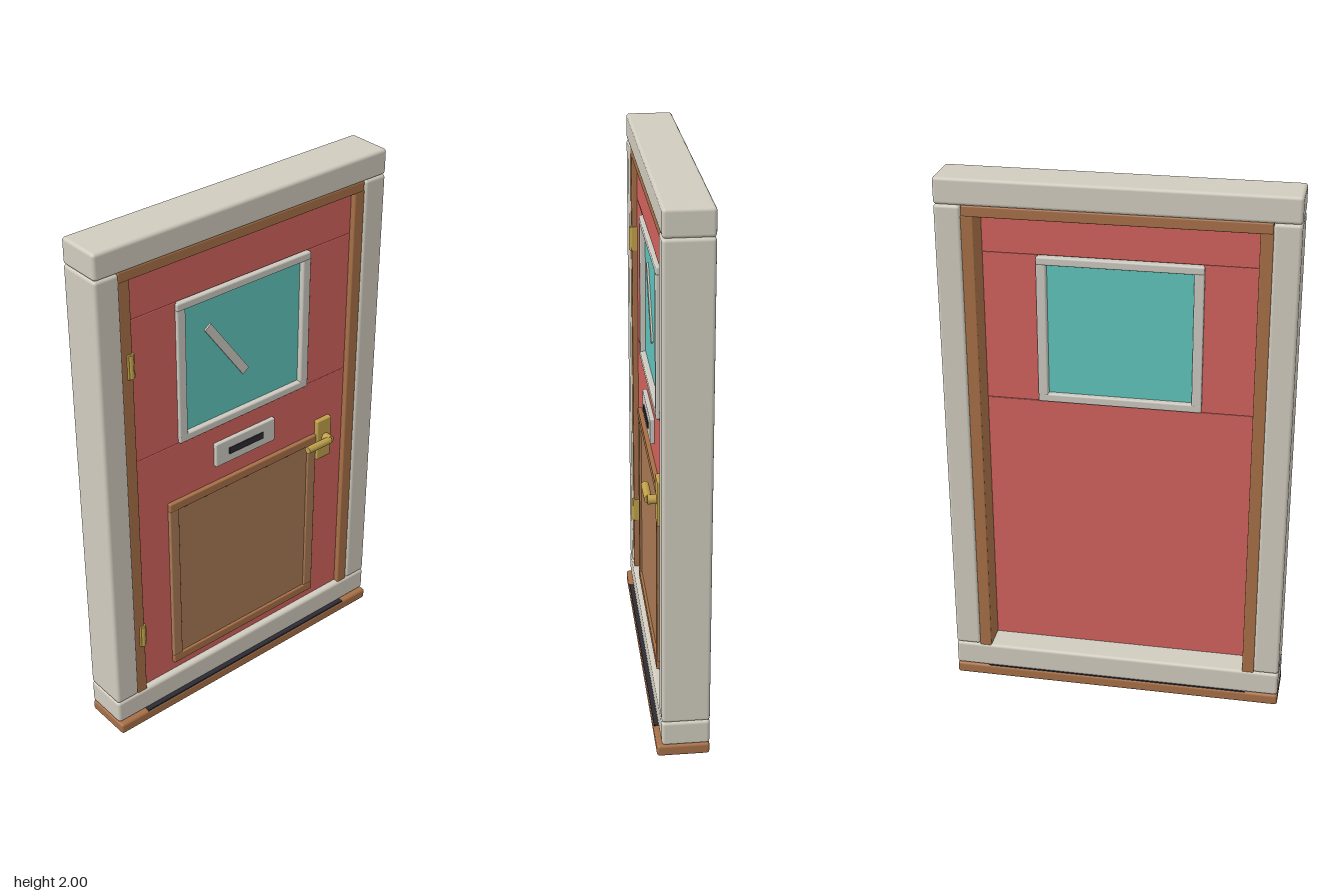
import * as THREE from 'three';
import { RoundedBoxGeometry } from 'three/addons/geometries/RoundedBoxGeometry.js';

export function createModel() {
  const group = new THREE.Group();
  group.name = 'frontDoor';
  const mat = (name, color) => {
    const m = new THREE.MeshStandardMaterial({ color });
    m.name = name;
    return m;
  };
  const stone = mat('stone', 0xd0cbbe);
  const trim = mat('trimWood', 0xa66f47);
  const panelWood = mat('panelWood', 0xa97a54);
  const red = mat('redPaint', 0xd2625d);
  const glass = mat('glass', 0x5fc4bb);
  const pale = mat('palePaint', 0xcbc8bf);
  const dark = mat('darkRubber', 0x2c2b33);
  const brass = mat('brass', 0xbfa04a);

  const add = (name, geometry, material, parent = group) => {
    const mesh = new THREE.Mesh(geometry, material);
    mesh.name = name;
    parent.add(mesh);
    return mesh;
  };
  // Box from its limits, with edges rounded by r
  const box = (name, material, [x0, x1], [y0, y1], [z0, z1], r = 0) => {
    const size = [x1 - x0, y1 - y0, z1 - z0];
    const geo = r ? new RoundedBoxGeometry(...size, 2, r) : new THREE.BoxGeometry(...size);
    const mesh = add(name, geo, material);
    mesh.position.set((x0 + x1) / 2, (y0 + y1) / 2, (z0 + z1) / 2);
    return mesh;
  };
  const side = (s, a, b) => (s > 0 ? [a, b] : [-b, -a]);

  // Stone surround
  const full = [-0.625, 0.625], deep = [-0.104, 0.066];
  box('lintel', stone, full, [1.905, 2], deep, 0.012);
  box('threshold', stone, full, [0.045, 0.14], deep, 0.012);
  box('sill', trim, full, [0, 0.044], [-0.104, 0.083], 0.01);
  box('weatherStrip', dark, [-0.5, 0.5], [0.038, 0.047], [-0.1, 0.081]);

  // Jambs, wooden linings, upper stiles and window sides
  for (const s of [1, -1]) {
    box('jamb', stone, side(s, 0.53, 0.625), [0.14, 1.905], deep, 0.012);
    box('lining', trim, side(s, 0.487, 0.532), [0.13, 1.87], [-0.1, 0.06], 0.005);
    box('upperStile', red, side(s, 0.29, 0.488), [1.155, 1.71], [0, 0.04], 0.003);
    box('windowSide', pale, side(s, 0.26, 0.296), [1.18, 1.682], [-0.012, 0.052], 0.006);
  }
  box('headLining', trim, [-0.53, 0.53], [1.866, 1.905], [-0.1, 0.06], 0.005);

  // Door leaf
  box('topRail', red, [-0.488, 0.488], [1.71, 1.868], [0, 0.04], 0.003);
  box('lowerLeaf', red, [-0.488, 0.488], [0.138, 1.155], [0, 0.04], 0.003);

  // Window
  box('windowHead', pale, [-0.296, 0.296], [1.676, 1.706], [-0.012, 0.052], 0.006);
  box('windowSill', pale, [-0.296, 0.296], [1.157, 1.188], [-0.012, 0.052], 0.006);
  box('windowPane', glass, [-0.265, 0.265], [1.183, 1.682], [0.008, 0.032]);
  const glint = box('glint', pale, [-0.145, 0.145], [-0.016, 0.016], [0.031, 0.039]);
  glint.position.set(-0.073, 1.447, 0.035);
  glint.rotation.z = Math.atan2(-0.225, 0.16);

  // Letter plate
  box('letterPlate', pale, [-0.14, 0.136], [0.99, 1.087], [0.038, 0.056], 0.005);
  box('letterSlot', dark, [-0.081, 0.077], [1.025, 1.051], [0.053, 0.06]);

  // Lower wooden panel with moulding
  box('lowerPanel', panelWood, [-0.345, 0.34], [0.185, 0.915], [0.036, 0.046]);
  for (const y of [0.18, 0.886])
    box('panelRail', trim, [-0.35, 0.346], [y, y + 0.035], [0.036, 0.056], 0.004);
  for (const x of [-0.35, 0.306])
    box('panelSide', panelWood, [x, x + 0.04], [0.213, 0.888], [0.036, 0.054], 0.004);

  // Hinges
  for (const y of [0.403, 0.553].map((v, i) => (i ? 1.553 : v))) {
    box('hingeLeaf', brass, [-0.511, -0.481], [y - 0.047, y + 0.047], [0.035, 0.064], 0.004);
    add('hingePin', new THREE.CylinderGeometry(0.01, 0.01, 0.09, 12), brass).position.set(-0.496, y, 0.06);
  }

  // Handle
  box('handlePlate', brass, [0.347, 0.416], [0.807, 0.98], [0.038, 0.06], 0.005);
  const spindle = add('handleSpindle', new THREE.CylinderGeometry(0.017, 0.017, 0.04, 16), brass);
  spindle.rotation.x = Math.PI / 2;
  spindle.position.set(0.385, 0.9, 0.071);
  const lever = add('handleLever', new THREE.CylinderGeometry(0.014, 0.014, 0.112, 16), brass);
  lever.rotation.z = Math.PI / 2;
  lever.position.set(0.328, 0.9, 0.088);

  return group;
}
